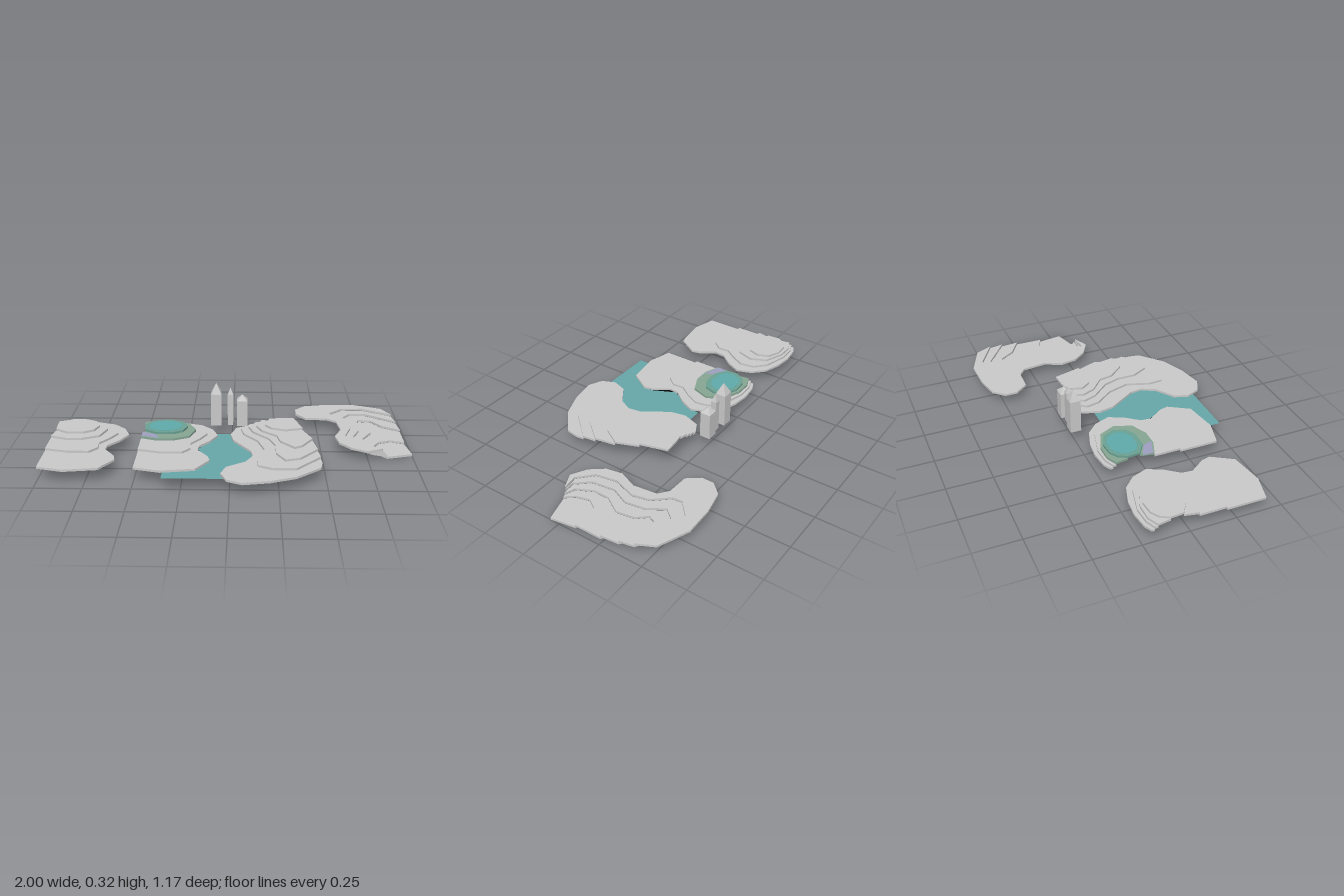
import * as THREE from 'three';

const mat = (name, color) => {
  const m = new THREE.MeshStandardMaterial({ color, side: THREE.DoubleSide });
  m.name = name;
  return m;
};

// Plan points are flat x, z lists on a survey grid: 187 grid units per model unit.
const GRID = 187, ORIGIN_X = 1134, ORIGIN_Z = 224;
const GROUND = 0.066, STEP = 0.0124;

function points(list) {
  const out = [];
  for (let i = 0; i < list.length; i += 2) {
    out.push(new THREE.Vector2((list[i] - ORIGIN_X) / GRID, -(list[i + 1] - ORIGIN_Z) / GRID));
  }
  return out;
}

// Horizontal plate from a plan outline, bottom at y; depth 0 gives a single sheet.
function plate(name, outline, y, depth, material) {
  const shape = new THREE.Shape(outline);
  const geo = depth > 0
    ? new THREE.ExtrudeGeometry(shape, { depth, bevelEnabled: false })
    : new THREE.ShapeGeometry(shape);
  geo.rotateX(-Math.PI / 2);
  const mesh = new THREE.Mesh(geo, material);
  mesh.name = name;
  mesh.position.y = y;
  return mesh;
}

// Terraces between successive open contours; the last one is closed by the cap points.
function terraces(name, contours, cap, y0, step, materials) {
  const group = new THREE.Group();
  group.name = name;
  const lines = contours.map(points);
  lines.forEach((line, i) => {
    const inner = i + 1 < lines.length ? [...lines[i + 1]].reverse() : points(cap);
    group.add(plate('terrace' + (i + 1), [...line, ...inner], y0 + i * step, STEP, materials[i] || materials[0]));
  });
  return group;
}

export function createModel() {
  const stone = mat('light grey', 0xc8c8c8);
  const water = mat('river teal', 0x66a6a7);
  const bed = mat('black', 0x050505);
  const green = mat('grey green', 0x86a593);
  const teal = mat('summit teal', 0x5fa9aa);
  const rim = mat('teal green', 0x6aa093);
  const lavender = mat('lavender', 0x9c9fbe);

  const model = new THREE.Group();
  model.name = 'terracedLandscape';

  // Round hill, used twice
  const knoll = [
    [947, 186, 955, 182, 972, 180, 990, 182, 1008, 188, 1020, 200, 1026, 216, 1019, 231, 1008, 245,
      1007, 256, 1018, 272, 1020, 281, 1007, 302, 973, 307, 947, 300],
    [947, 189, 957, 185, 974, 184, 1000, 191, 1012, 202, 1015, 217, 1008, 231, 999, 244, 1000, 256, 992, 266, 970, 266, 947, 260],
    [947, 192, 958, 187, 975, 187, 995, 195, 1003, 212, 997, 230, 980, 238, 963, 238, 947, 232],
    [949, 205, 954, 196, 962, 191, 976, 190, 989, 196, 994, 208, 990, 220, 980, 226, 962, 226, 950, 218],
  ];
  model.add(terraces('outerHill', knoll, [], GROUND, STEP, [stone]));
  const paintedHill = terraces('paintedHill', knoll, [], GROUND, STEP, [stone, stone, green, rim]);
  paintedHill.position.x = 0.5;
  model.add(paintedHill);

  // Painted summit and corner patch
  const top = GROUND + 4 * STEP;
  const summit = [953, 207, 958, 197, 966, 194, 976, 194, 985, 199, 989, 208, 985, 217, 977, 221, 963, 221, 955, 216];
  paintedHill.add(plate('summitPatch', points(summit), top, 0.001, teal));
  paintedHill.add(plate('cornerPatch', points([947.5, 220, 962, 227, 966, 237, 947.5, 231]), top - STEP, 0.001, lavender));

  // River hill, rising toward its cut edge
  const riverHill = [
    [1150, 189, 1139, 195, 1133, 213, 1136, 229, 1145, 243, 1154, 257, 1156, 270, 1149, 284, 1130, 297,
      1125, 312, 1131, 326, 1146, 333, 1173, 328, 1198, 318, 1222, 297, 1224, 285],
    [1154, 189, 1144, 203, 1147, 217, 1161, 235, 1168, 258, 1160, 282, 1161, 297, 1175, 304, 1198, 304, 1223, 276],
    [1160, 189, 1152, 203, 1157, 217, 1173, 235, 1179, 252, 1179, 272, 1188, 289, 1203, 284, 1221, 262],
    [1166, 189, 1160, 205, 1166, 219, 1181, 232, 1184, 247, 1198, 263, 1206, 258, 1217, 240],
    [1174, 191, 1169, 207, 1176, 217, 1190, 222, 1208, 217],
  ];
  model.add(terraces('riverHill', riverHill, [1200, 188, 1185, 189], GROUND, STEP, [stone]));

  // Sunken valley, stepping down toward its cut edge
  const valley = [
    [1303, 127, 1271, 114, 1240, 115, 1216, 120, 1205, 132, 1205, 145, 1215, 158, 1238, 159, 1248, 167, 1251, 192,
      1243, 211, 1246, 228, 1257, 242, 1273, 251, 1288, 244],
    [1312, 145, 1281, 127, 1258, 128, 1243, 142, 1244, 152, 1258, 168, 1262, 186, 1254, 209, 1258, 231, 1273, 245, 1289, 243],
    [1315, 160, 1283, 137, 1266, 138, 1257, 149, 1268, 166, 1271, 187, 1263, 205, 1266, 229, 1278, 243, 1290, 242.5],
    [1317, 179, 1299, 168, 1288, 152, 1275, 150, 1272, 158, 1281, 168, 1284, 187, 1273, 205, 1273, 222, 1281, 238, 1292, 242],
    [1317, 208, 1303, 203, 1290, 208, 1283, 219, 1287, 233, 1294, 241.5],
  ];
  model.add(terraces('sunkenValley', valley, [1321, 234], GROUND - STEP, -(GROUND - STEP) / 4, [stone]));

  // River sheet with dark banks beneath the hills
  const leftBank = [1118, 207, 1117, 218, 1109, 233, 1100, 248, 1112, 273, 1110, 284, 1099, 300, 1069, 305];
  const rightBank = [1139, 207, 1136, 214, 1139, 229, 1148, 243, 1157, 257, 1159, 270, 1152, 285, 1133, 298, 1129, 312, 1131, 319];
  const y = GROUND - 0.001;
  model.add(plate('river', [...points(leftBank), ...points([1069, 319]), ...points(rightBank).reverse()], y, 0, water));
  model.add(plate('leftRiverBed', points([...leftBank, 1069, 207]), y, 0, bed));
  model.add(plate('rightRiverBed', points([...rightBank, 1182, 319, 1182, 207]), y, 0, bed));

  // Pointed square towers: x, width, shoulder height, peak height
  for (const [x, w, shoulder, peak] of [[-0.092, 0.06, 0.257, 0.32], [-0.01, 0.032, 0.25, 0.292], [0.058, 0.06, 0.218, 0.25]]) {
    const tower = new THREE.Group();
    tower.name = 'tower';
    const shaft = new THREE.Mesh(new THREE.BoxGeometry(w, shoulder - GROUND, w), stone);
    shaft.name = 'towerShaft';
    shaft.position.y = (shoulder + GROUND) / 2;
    const roofGeo = new THREE.ConeGeometry(w / Math.SQRT2, peak - shoulder, 4, 1, true).rotateY(Math.PI / 4).toNonIndexed();
    roofGeo.computeVertexNormals();
    const roof = new THREE.Mesh(roofGeo, stone);
    roof.name = 'towerRoof';
    roof.position.y = (shoulder + peak) / 2;
    tower.add(shaft, roof);
    tower.position.set(x, 0, -0.247);
    model.add(tower);
  }
  return model;
}
